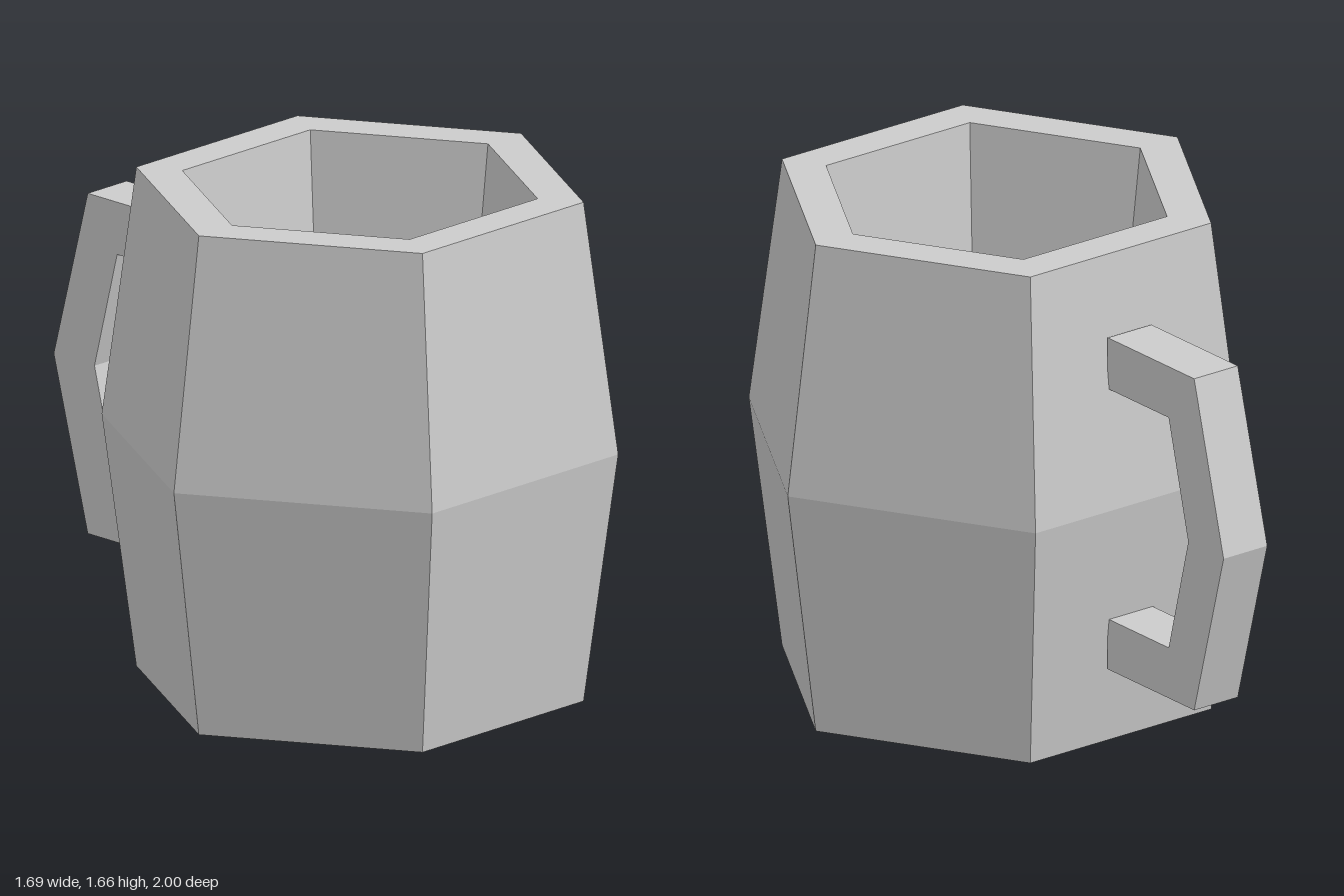
import * as THREE from 'three';

const material = new THREE.MeshStandardMaterial({ color: 0xcccccc, flatShading: true });
const points = (list) => list.map(([x, y]) => new THREE.Vector2(x, y));

// Six-sided barrel: base, bulging wall, flat rim, tapered hollow and floor
function createBody() {
  const profile = points([
    [0, 0], [0.73, 0], [0.843, 0.83], [0.73, 1.66],
    [0.58, 1.66], [0.435, 0.41], [0, 0.41],
  ]);
  const body = new THREE.Mesh(new THREE.LatheGeometry(profile, 6, Math.PI / 6), material);
  body.name = 'mugBody';
  body.position.z = 0.267;
  return body;
}

// Angular handle: profile of (distance behind the centre, height), extruded across x
function createHandle() {
  const width = 0.176;
  const shape = new THREE.Shape(points([
    [0.41, 0.265], [0.85, 0.265], [1, 0.83], [0.85, 1.397], [0.41, 1.397],
    [0.41, 1.223], [0.72, 1.223], [0.82, 0.83], [0.72, 0.437], [0.41, 0.437],
  ]));
  const geometry = new THREE.ExtrudeGeometry(shape, { depth: width, bevelEnabled: false });
  geometry.translate(0, 0, -width / 2);
  geometry.rotateY(Math.PI / 2);
  const handle = new THREE.Mesh(geometry, material);
  handle.name = 'handle';
  return handle;
}

export function createModel() {
  const mug = new THREE.Group();
  mug.name = 'mug';
  mug.add(createBody(), createHandle());
  return mug;
}
